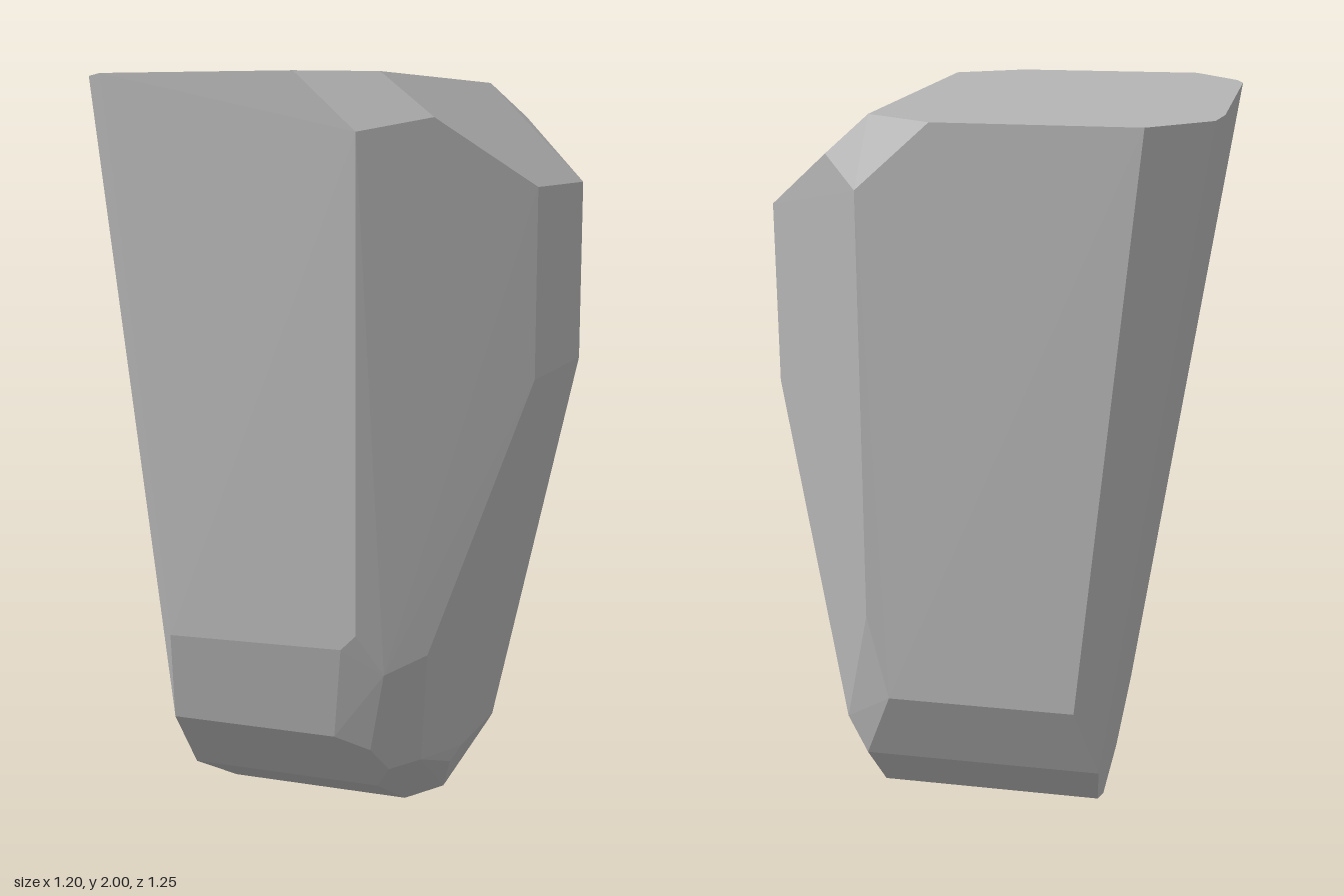
import * as THREE from 'three';
import { ConvexGeometry } from 'three/addons/geometries/ConvexGeometry.js';

// Corner points [x, y, z] of the chipped stone, grouped by area
const topRim = [
  [-0.435, -0.625], [0.07, -0.625], [0.25, -0.5], [0.25, 0.5], [0.07, 0.62],
  [-0.45, 0.62], [-0.58, 0.44], [-0.6, 0.37], [-0.6, -0.36], [-0.585, -0.475],
].map(([x, z]) => [x, 2, z]);

const base = [
  [-0.31, 0.155], [0.21, 0.155], [0.285, 0.03], [0.22, -0.14], [-0.31, -0.14],
].map(([x, z]) => [x, 0, z]);

// Sloped shoulder and the upright flat on the +x side
const shoulder = [
  [0.385, 1.89, 0.49], [0.23, 1.855, 0.62],
  [0.365, 1.9, -0.49], [0.255, 1.835, -0.625],
  [0.6, 1.72, 0.305], [0.6, 1.72, -0.21],
  [0.6, 1.235, 0.305], [0.6, 1.23, -0.21],
];

// Bevels that round the front down to the base
const frontBevels = [
  [0.23, 0.61, 0.62], [0.19, 0.57, 0.62], [-0.285, 0.56, 0.62],
  [0.38, 0.54, 0.495], [0.29, 0.5, 0.575],
  [0.15, 0.315, 0.56], [-0.305, 0.315, 0.56],
  [0.235, 0.275, 0.52], [0.265, 0.205, 0.46], [0.335, 0.22, 0.4],
  [0.21, 0.125, 0.39], [-0.325, 0.125, 0.39],
];

// Bevels that round the back and the lower +x edge
const backBevels = [
  [0.255, 0.73, -0.625], [0.2, 0.5, -0.625], [-0.29, 0.5, -0.625],
  [0.345, 0.38, -0.515], [0.29, 0.28, -0.525], [-0.345, 0.28, -0.525],
  [0.335, 0.195, -0.355], [0.28, 0.12, -0.38], [-0.325, 0.12, -0.38],
  [0.355, 0.145, 0.2], [0.375, 0.18, 0.16],
  [0.375, 0.165, -0.165], [0.36, 0.14, -0.185],
];

export function createModel() {
  const stoneGrey = new THREE.MeshStandardMaterial({ color: 0xb4b4b4 });
  stoneGrey.name = 'stone grey';

  const corners = [...topRim, ...base, ...shoulder, ...frontBevels, ...backBevels]
    .map((p) => new THREE.Vector3(...p));
  const stone = new THREE.Mesh(new ConvexGeometry(corners), stoneGrey);
  stone.name = 'stone';

  const model = new THREE.Group();
  model.name = 'rock';
  model.add(stone);
  return model;
}
